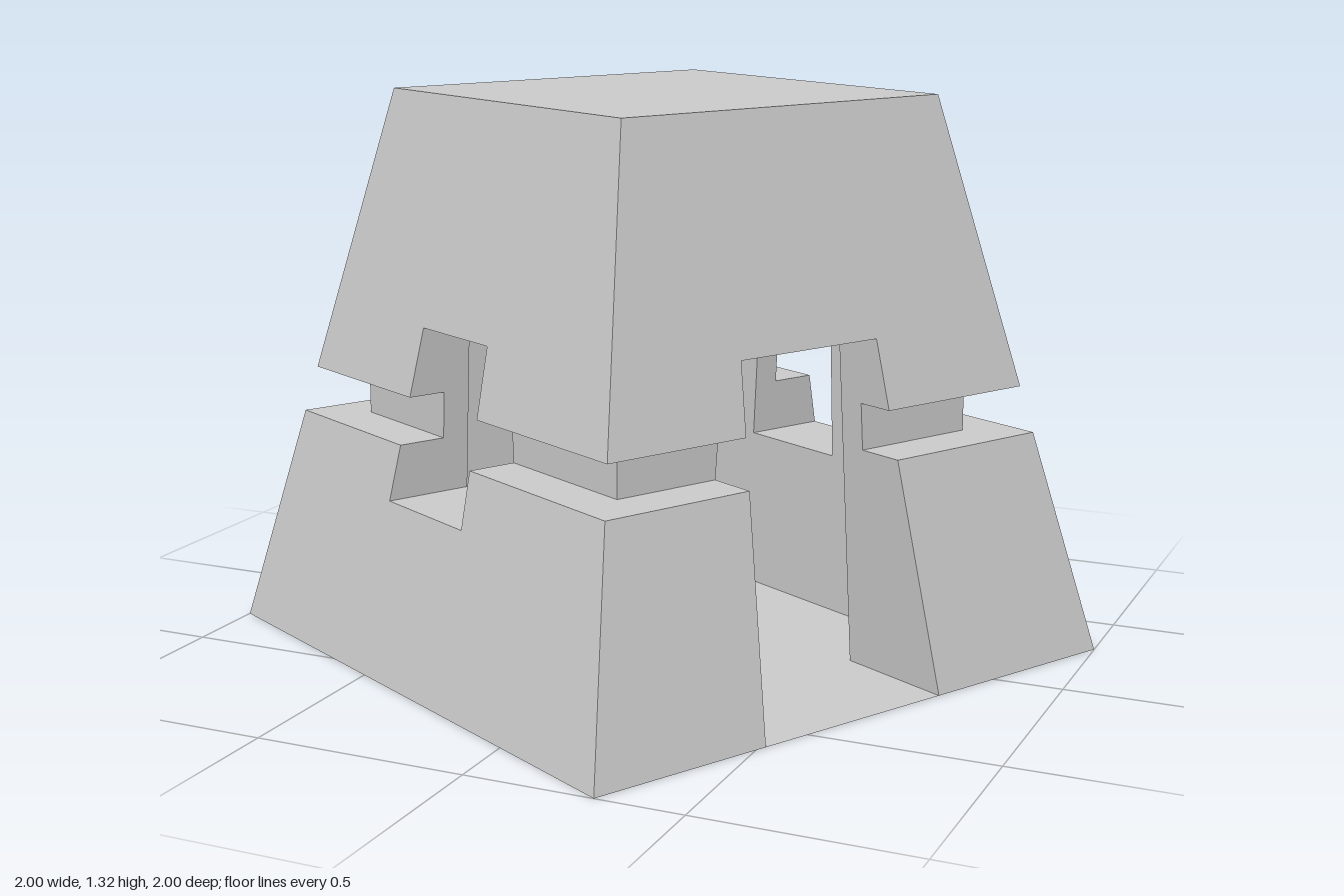
import * as THREE from 'three';

const BASE = 0.738, TOP = 1.32;        // half width at the ground, total height
const SLOT0 = 0.53, SLOT1 = 0.64;      // horizontal groove around the walls
const CORE = 0.507, ROOM = 0.44;       // half widths of groove back and inner room

const taper = (y) => 1 - 0.2936 * y;
const half = (y) => BASE * taper(y);

const material = new THREE.MeshStandardMaterial({
  color: 0xcccccc, flatShading: true, side: THREE.DoubleSide,
});

// Mesh from a list of four-cornered faces, corners counter-clockwise
function quadMesh(name, quads) {
  const pos = [];
  for (const [a, b, c, d] of quads) pos.push(...a, ...b, ...c, ...a, ...c, ...d);
  const g = new THREE.BufferGeometry();
  g.setAttribute('position', new THREE.Float32BufferAttribute(pos, 3));
  g.computeVertexNormals();
  const mesh = new THREE.Mesh(g, material);
  mesh.name = name;
  return mesh;
}

// One sloping wall facing +z; a..b and y0..y1 bound its opening (widths at ground scale)
function buildSide({ name, angle, a, b, y0, y1, bridge }) {
  const at = (u, y, d) => [u * taper(y), y, d];
  const out = (u, y) => at(u, y, half(y));
  const side = new THREE.Group();
  side.name = name;
  side.rotation.y = angle;

  // outer skin: left, right and middle columns
  const skin = [];
  const panel = (u0, u1, v0, v1) => {
    if (v1 > v0) skin.push([out(u0, v0), out(u1, v0), out(u1, v1), out(u0, v1)]);
  };
  for (const [u0, u1] of [[-BASE, a], [b, BASE]]) {
    panel(u0, u1, 0, SLOT0);
    panel(u0, u1, SLOT1, TOP);
  }
  if (bridge) panel(a, b, 0, TOP);
  else {
    panel(a, b, 0, y0);
    panel(a, b, y1, TOP);
  }
  side.add(quadMesh('outerWall', skin));

  // groove: back wall, ledge and overhang on both sides of the opening
  const groove = [];
  for (const [edge, s] of [[a, -1], [b, 1]]) {
    const back = (y) => [s * CORE, y, CORE];
    const strip = [
      [back(SLOT0), at(edge, SLOT0, CORE), at(edge, SLOT1, CORE), back(SLOT1)],
      [out(s * BASE, SLOT0), out(edge, SLOT0), at(edge, SLOT0, CORE), back(SLOT0)],
      [back(SLOT1), at(edge, SLOT1, CORE), out(edge, SLOT1), out(s * BASE, SLOT1)],
    ];
    for (const q of strip) groove.push(s < 0 ? q : q.reverse());
  }
  side.add(quadMesh('groove', groove));

  // jambs, sill and head of the opening
  const jambs = [];
  for (const [u, s] of [[a, -1], [b, 1]]) {
    const jamb = (v0, v1, inner, d0, d1) => {
      const q = [at(u, v0, d0), at(u, v0, inner), at(u, v1, inner), at(u, v1, d1)];
      jambs.push((s < 0) !== !!bridge ? q : q.reverse());
    };
    if (bridge) jamb(SLOT0, SLOT1, CORE, half(SLOT0), half(SLOT1));
    else {
      jamb(y0, SLOT0, ROOM, half(y0), half(SLOT0));
      jamb(SLOT0, SLOT1, ROOM, CORE, CORE);
      jamb(SLOT1, y1, ROOM, half(SLOT1), half(y1));
    }
  }
  if (!bridge) {
    jambs.push([out(a, y0), out(b, y0), at(b, y0, ROOM), at(a, y0, ROOM)]);
    jambs.push([at(a, y1, ROOM), at(b, y1, ROOM), out(b, y1), out(a, y1)]);
  }
  side.add(quadMesh(bridge ? 'grooveEnds' : 'openingJambs', jambs));

  // upright inner wall of the room, facing inwards
  const room = [];
  const inner = (u, y) => [u, y, ROOM];
  const face = (p, q, r, t) => room.push([q, p, t, r]);
  if (bridge) face(inner(-ROOM, 0), inner(ROOM, 0), inner(ROOM, TOP), inner(-ROOM, TOP));
  else {
    face(inner(-ROOM, y0), at(a, y0, ROOM), at(a, y1, ROOM), inner(-ROOM, y1));
    face(at(b, y0, ROOM), inner(ROOM, y0), inner(ROOM, y1), at(b, y1, ROOM));
    face(inner(-ROOM, y1), inner(ROOM, y1), inner(ROOM, TOP), inner(-ROOM, TOP));
    if (y0 > 0) face(inner(-ROOM, 0), inner(ROOM, 0), inner(ROOM, y0), inner(-ROOM, y0));
  }
  side.add(quadMesh('roomWall', room));
  return side;
}

function level(name, r, y) {
  return quadMesh(name, [[[-r, y, r], [r, y, r], [r, y, -r], [-r, y, -r]]]);
}

export function createModel() {
  const model = new THREE.Group();
  model.name = 'bunker';
  const body = new THREE.Group();
  body.name = 'body';
  body.rotation.y = -0.494;
  model.add(body);

  const sides = [
    { name: 'frontSlitWall', angle: 0, a: -0.206, b: 0.14, y0: 0.4, y1: 0.8 },
    { name: 'backSlitWall', angle: Math.PI, a: -0.14, b: 0.206, y0: 0.4, y1: 0.8 },
    { name: 'doorWall', angle: Math.PI / 2, a: -0.288, b: 0.222, y0: 0, y1: 0.8 },
    { name: 'closedWall', angle: -Math.PI / 2, a: -0.222, b: 0.284, bridge: true },
  ];
  for (const s of sides) body.add(buildSide(s));
  body.add(level('roof', half(TOP), TOP));
  body.add(level('floor', ROOM, 0));
  return model;
}
